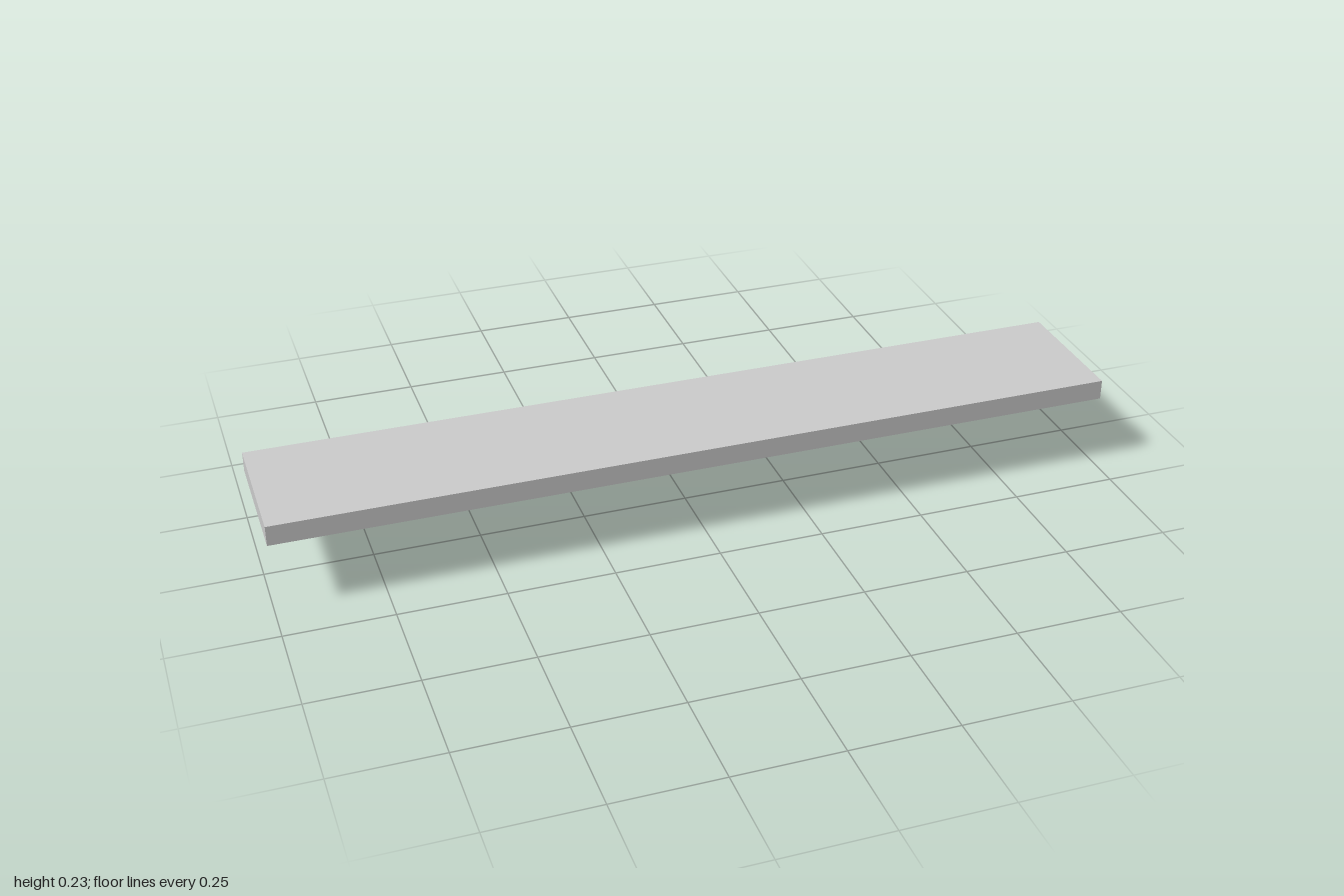
import * as THREE from 'three';

const material = new THREE.MeshStandardMaterial({ color: 0xcccccc, side: THREE.DoubleSide });

// Bracket triangle as [z, y]: bottom, back top, front top
const OUTER = [[-0.137, 0], [-0.137, 0.178], [0.135, 0.178]];
const INNER = [[-0.105, 0.06], [-0.105, 0.146], [0.03, 0.146]];
const HALF_WIDTH = 0.033;
const SEGMENTS = 32;

// One oval bar, mitred at both corners
function mitredBar(from, to) {
  const positions = [], index = [];
  for (const corner of [from, to]) {
    for (let i = 0; i < SEGMENTS; i++) {
      const t = (i / SEGMENTS) * Math.PI * 2;
      const f = (1 - Math.cos(t)) / 2;
      const [z, y] = OUTER[corner].map((v, k) => THREE.MathUtils.lerp(v, INNER[corner][k], f));
      positions.push(HALF_WIDTH * Math.sin(t), y, z);
    }
  }
  for (let i = 0; i < SEGMENTS; i++) {
    const j = (i + 1) % SEGMENTS;
    index.push(i, i + SEGMENTS, j, j, i + SEGMENTS, j + SEGMENTS);
  }
  const geometry = new THREE.BufferGeometry();
  geometry.setAttribute('position', new THREE.Float32BufferAttribute(positions, 3));
  geometry.setIndex(index);
  geometry.computeVertexNormals();
  return geometry;
}

export function createModel() {
  const model = new THREE.Group();
  model.name = 'wallShelf';

  // Plank
  const board = new THREE.Mesh(new THREE.BoxGeometry(2, 0.048, 0.327), material);
  board.name = 'board';
  board.position.y = 0.202;
  model.add(board);

  // Triangular brackets near each end
  const bars = ['uprightBar', 'topBar', 'diagonalBar'].map((name, i) => [name, mitredBar(i, (i + 1) % 3)]);
  for (const side of [1, -1]) {
    const bracket = new THREE.Group();
    bracket.name = side > 0 ? 'leftBracket' : 'rightBracket';
    bracket.position.x = side * 0.836;
    for (const [name, geometry] of bars) {
      const bar = new THREE.Mesh(geometry, material);
      bar.name = name;
      bracket.add(bar);
    }
    model.add(bracket);
  }
  return model;
}
